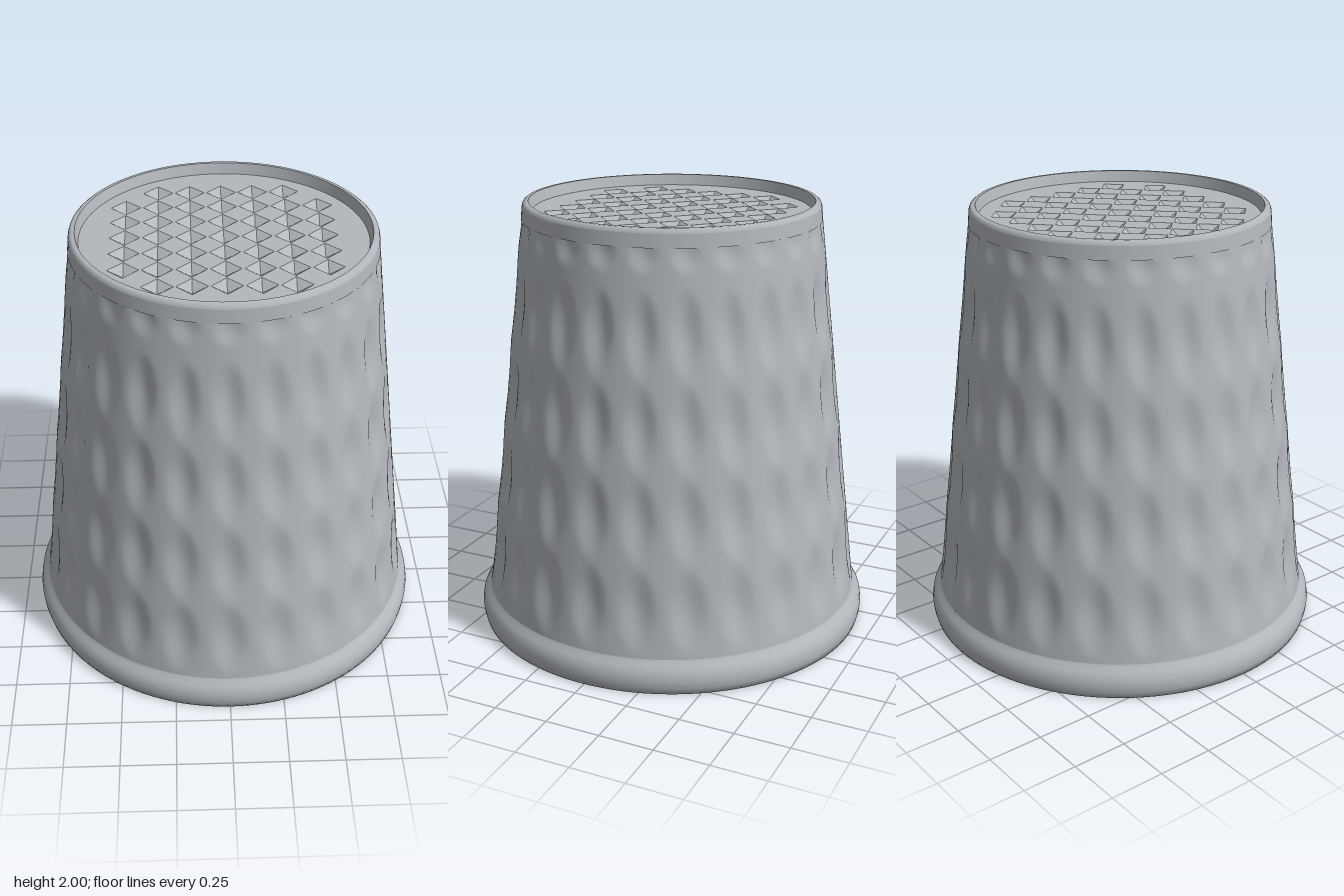
import * as THREE from 'three';
import { mergeVertices, mergeGeometries } from 'three/addons/utils/BufferGeometryUtils.js';

const metal = new THREE.MeshStandardMaterial({ color: 0xb3b7bb });
metal.name = 'grey metal';

const COLUMNS = 24;
const ROWS = [0.36, 0.76, 1.16, 1.56, 1.9];
const FLOOR_Y = 1.95;
const wallRadius = (y) => 0.885 - ((y - 0.15) / 1.77) * 0.205;

function addMesh(group, name, geometry) {
  const mesh = new THREE.Mesh(geometry, metal);
  mesh.name = name;
  group.add(mesh);
}

function lathe(points, segments = 128) {
  return new THREE.LatheGeometry(points.map(([r, y]) => new THREE.Vector2(r, y)), segments);
}

// Depth of the side dimples at a given angle and height
function dimpleDepth(angle, y) {
  const step = (Math.PI * 2) / COLUMNS;
  const u = (angle / step - Math.round(angle / step)) / 0.4;
  let depth = 0;
  ROWS.forEach((row, i) => {
    const v = (y - row) / (i === ROWS.length - 1 ? 0.09 : 0.2);
    depth += (i === ROWS.length - 1 ? 0.014 : 0.022) * Math.max(0, 1 - u * u - v * v) ** 1.8;
  });
  return depth;
}

// Tapered outer wall with rows of shallow dimples
function dimpledWall() {
  const points = [];
  for (let i = 0; i <= 110; i++) {
    const y = 0.15 + (1.77 * i) / 110;
    points.push([wallRadius(y), y]);
  }
  let geometry = lathe(points, 240);
  const pos = geometry.attributes.position;
  for (let i = 0; i < pos.count; i++) {
    const x = pos.getX(i), y = pos.getY(i), z = pos.getZ(i);
    const r = Math.hypot(x, z);
    const k = (r - dimpleDepth(Math.atan2(x, z), y)) / r;
    pos.setXYZ(i, x * k, y, z * k);
  }
  geometry.deleteAttribute('uv');
  geometry.deleteAttribute('normal');
  geometry = mergeVertices(geometry, 1e-5);
  geometry.computeVertexNormals();
  return geometry;
}

// Centres of the pits on the top: a 7 x 7 grid without its corners
function pitCentres() {
  const centres = [];
  for (let i = -3; i <= 3; i++) {
    for (let j = -3; j <= 3; j++) {
      if (Math.abs(i) + Math.abs(j) < 6) centres.push([i * 0.144, j * 0.144]);
    }
  }
  return centres;
}

const PIT_RADIUS = 0.067;

// Recessed top plate with diamond openings
function topPlate() {
  const shape = new THREE.Shape();
  shape.absarc(0, 0, 0.632, 0, Math.PI * 2, false);
  for (const [x, z] of pitCentres()) {
    const hole = new THREE.Path();
    hole.moveTo(x + PIT_RADIUS, -z);
    hole.lineTo(x, -z - PIT_RADIUS);
    hole.lineTo(x - PIT_RADIUS, -z);
    hole.lineTo(x, -z + PIT_RADIUS);
    hole.closePath();
    shape.holes.push(hole);
  }
  return new THREE.ShapeGeometry(shape, 64).rotateX(-Math.PI / 2).translate(0, FLOOR_Y, 0);
}

// Inverted four-sided pyramids sunk under the openings
function topPits() {
  const depth = 0.035;
  const pit = new THREE.ConeGeometry(PIT_RADIUS, depth, 4, 1, true)
    .scale(1, -1, 1).translate(0, FLOOR_Y - depth / 2, 0).toNonIndexed();
  pit.computeVertexNormals();
  return mergeGeometries(pitCentres().map(([x, z]) => pit.clone().translate(x, 0, z)));
}

export function createModel() {
  const group = new THREE.Group();
  group.name = 'thimble';

  addMesh(group, 'dimpledWall', dimpledWall());

  // Rolled band around the open end, turning smoothly into the opening
  addMesh(group, 'baseBand', lathe([
    [0.808, 0.05], [0.812, 0.025], [0.825, 0.007], [0.845, 0], [0.918, 0],
    [0.926, 0.03], [0.929, 0.06], [0.923, 0.095], [0.907, 0.12], [0.891, 0.138], [0.885, 0.15],
  ]));

  // Smooth collar and raised lip around the top
  addMesh(group, 'collarUnderside', lathe([[0.655, 1.92], [wallRadius(1.92), 1.92]]));
  addMesh(group, 'topCollar', lathe([[wallRadius(1.92), 1.92], [0.674, 1.98]]));
  addMesh(group, 'topLip', lathe([[0.674, 1.98], [0.67, 1.992], [0.66, 2], [0.645, 2]]));
  addMesh(group, 'lipInnerWall', lathe([[0.645, 2], [0.632, FLOOR_Y]]));
  addMesh(group, 'topPlate', topPlate());
  addMesh(group, 'topPits', topPits());

  // Hollow inside
  addMesh(group, 'innerWall', lathe([[0.6, 1.86], [0.615, 1.8], [0.808, 0.05]]));
  const ceiling = new THREE.CircleGeometry(0.6, 128).rotateX(Math.PI / 2).translate(0, 1.86, 0);
  addMesh(group, 'innerCeiling', ceiling);

  return group;
}
